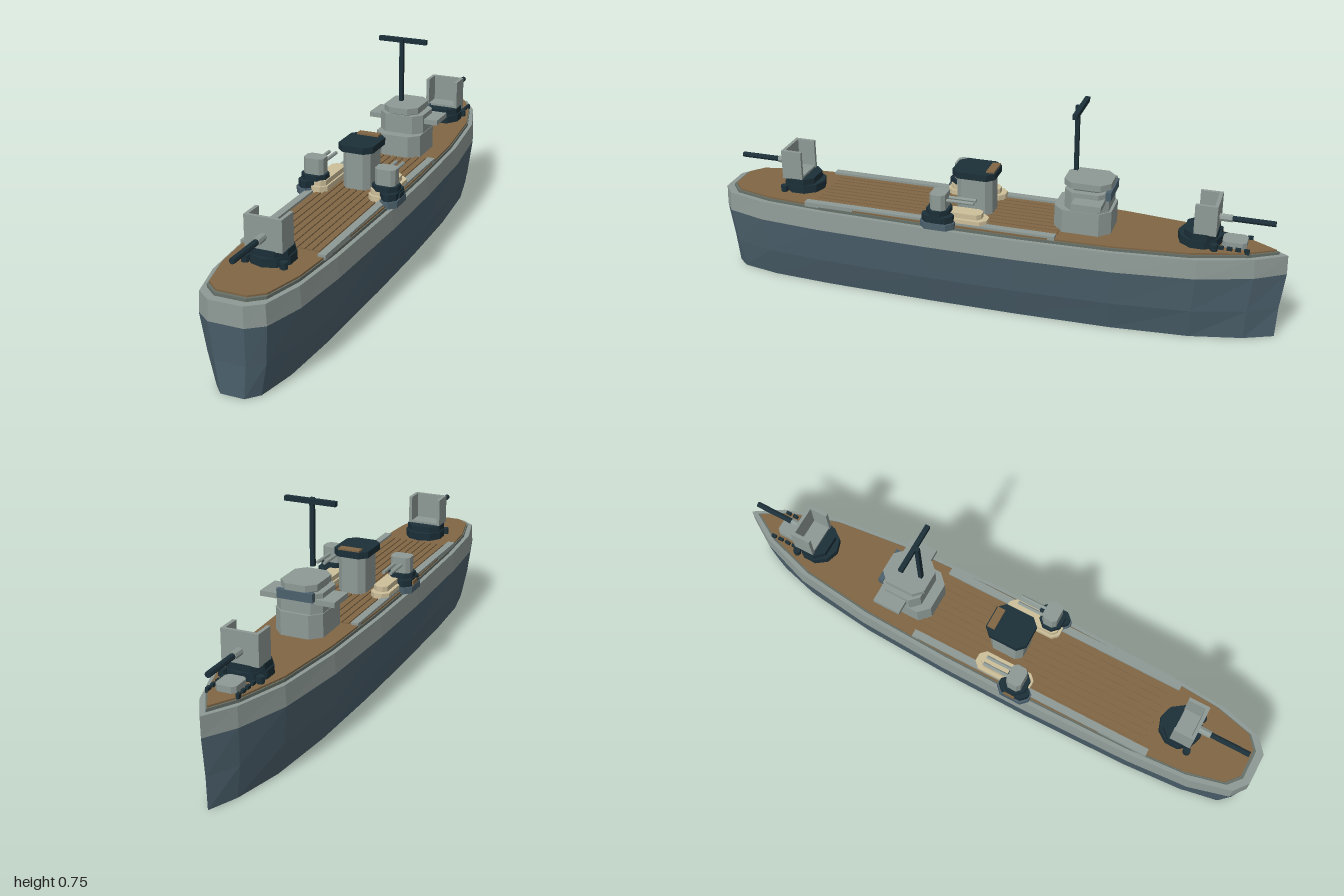
import * as THREE from 'three';

const mat = (name, color, side = THREE.FrontSide) => {
  const m = new THREE.MeshStandardMaterial({ color, side, flatShading: true });
  m.name = name;
  return m;
};

export function createModel() {
  const ship = new THREE.Group();
  ship.name = 'warship';
  const grey = mat('light grey', 0x8e9a96, THREE.DoubleSide);
  const blue = mat('hull blue grey', 0x4c616d, THREE.DoubleSide);
  const dark = mat('dark slate', 0x1c2f38);
  const brown = mat('deck brown', 0x806645);
  const cream = mat('cream', 0xcdbf9a);
  const trim = mat('trim grey', 0x667068);

  const add = (parent, name, geo, m, x = 0, y = 0, z = 0) => {
    const mesh = new THREE.Mesh(geo, m);
    mesh.name = name;
    mesh.position.set(x, y, z);
    parent.add(mesh);
    return mesh;
  };
  // box given by its centre x, z and its bottom and top heights
  const box = (p, name, m, x, z, w, d, y0, y1) =>
    add(p, name, new THREE.BoxGeometry(w, y1 - y0, d), m, x, (y0 + y1) / 2, z);
  // upright block with its four vertical corners cut off
  const block = (p, name, m, x, z, w, d, y0, y1, c) => {
    const a = w / 2, b = d / 2;
    const s = new THREE.Shape([
      [a, -b + c], [a, b - c], [a - c, b], [c - a, b],
      [-a, b - c], [-a, c - b], [c - a, -b], [a - c, -b],
    ].map(([u, v]) => new THREE.Vector2(u, v)));
    const g = new THREE.ExtrudeGeometry(s, { depth: y1 - y0, bevelEnabled: false });
    g.rotateX(-Math.PI / 2);
    return add(p, name, g, m, x, y0, z);
  };
  // barrel along z
  const barrel = (p, name, m, x, y, z0, z1, r) => {
    const g = new THREE.CylinderGeometry(r, r, Math.abs(z1 - z0), 8);
    g.rotateX(Math.PI / 2);
    return add(p, name, g, m, x, y, (z0 + z1) / 2);
  };

  // hull outline from the stern (+z) to the bow (-z)
  const half = [[0.058, 1], [0.11, 0.96], [0.148, 0.82], [0.165, 0.6], [0.174, 0.2],
    [0.172, -0.12], [0.159, -0.45], [0.125, -0.72], [0.064, -0.9]];
  const ring = [...half, [0, -1], ...half.map(([x, z]) => [-x, z]).reverse()];
  // loft through levels of [y, x scale, z scale], open below, with an optional top
  const loft = (levels, top = true) => {
    const pos = [], n = ring.length;
    const pt = (l, i) => [ring[i % n][0] * l[1], l[0], ring[i % n][1] * l[2]];
    const last = levels[levels.length - 1];
    for (let i = 0; i < n; i++) {
      for (let k = 0; k < levels.length - 1; k++) {
        const a = pt(levels[k], i), b = pt(levels[k], i + 1);
        const c = pt(levels[k + 1], i + 1), d = pt(levels[k + 1], i);
        pos.push(...a, ...b, ...c, ...a, ...c, ...d);
      }
      if (top) pos.push(0, last[0], 0, ...pt(last, i), ...pt(last, i + 1));
    }
    const g = new THREE.BufferGeometry();
    g.setAttribute('position', new THREE.Float32BufferAttribute(pos, 3));
    g.computeVertexNormals();
    return g;
  };
  add(ship, 'lowerHull', loft([[0, 0.68, 0.98], [0.11, 0.88, 0.985], [0.24, 1, 1]], false), blue);
  add(ship, 'upperHull', loft([[0.24, 1, 1], [0.308, 0.965, 0.998]]), grey);
  add(ship, 'deckEdge', loft([[0.308, 0.88, 0.97], [0.318, 0.88, 0.97]]), trim);
  add(ship, 'deck', loft([[0.318, 0.86, 0.96], [0.324, 0.86, 0.96]]), brown);

  // raised deck planks and side rails
  for (let i = -4; i <= 4; i++) box(ship, 'plank', brown, i * 0.025, 0.185, 0.019, 0.87, 0.32, 0.328);
  for (const s of [-1, 1]) box(ship, 'sideRail', grey, s * 0.131, 0.2, 0.026, 0.9, 0.315, 0.332);

  // main guns, built facing +z with the mount at the origin
  const mainGun = (z, turn) => {
    const g = new THREE.Group();
    g.name = 'mainGun';
    g.position.z = z;
    g.rotation.y = turn;
    add(g, 'gunBase', new THREE.CylinderGeometry(0.074, 0.074, 0.03, 10), dark, 0, 0.337, 0);
    block(g, 'gunMount', dark, 0, 0.005, 0.132, 0.11, 0.35, 0.374, 0.03);
    box(g, 'shieldFloor', grey, 0, 0.022, 0.126, 0.072, 0.372, 0.382);
    box(g, 'shieldFront', grey, 0, 0.052, 0.126, 0.012, 0.372, 0.477);
    for (const s of [-1, 1]) {
      box(g, 'shieldSide', grey, s * 0.057, 0.016, 0.012, 0.064, 0.372, 0.477);
      add(g, 'mountFoot', new THREE.CylinderGeometry(0.013, 0.013, 0.024, 8), dark, s * 0.064, 0.334, 0.054);
    }
    barrel(g, 'barrelSleeve', grey, 0, 0.415, 0.05, 0.1, 0.013);
    barrel(g, 'barrel', dark, 0, 0.415, 0.09, 0.24, 0.01);
    ship.add(g);
  };
  mainGun(0.71, 0);
  mainGun(-0.71, Math.PI);

  // bow hatch with bollards
  block(ship, 'bowHatch', grey, 0, -0.825, 0.07, 0.08, 0.32, 0.345, 0.012);
  for (const s of [-1, 1]) for (let i = 0; i < 4; i++)
    box(ship, 'bollard', dark, s * 0.05, -0.785 - i * 0.028, 0.01, 0.018, 0.318, 0.335);

  // bridge
  block(ship, 'bridgeBase', grey, 0, -0.322, 0.168, 0.195, 0.32, 0.405, 0.035);
  block(ship, 'bridgeTower', grey, 0, -0.335, 0.164, 0.15, 0.405, 0.472, 0.03);
  box(ship, 'bridgeWings', grey, 0, -0.35, 0.262, 0.1, 0.437, 0.455);
  block(ship, 'windowBand', trim, 0, -0.335, 0.12, 0.14, 0.472, 0.48, 0.03);
  block(ship, 'bridgeRoof', grey, 0, -0.333, 0.13, 0.16, 0.478, 0.5, 0.03);
  box(ship, 'bridgeWindow', blue, 0, -0.409, 0.126, 0.018, 0.448, 0.478);

  // mast
  box(ship, 'mast', dark, 0, -0.284, 0.014, 0.014, 0.52, 0.748);
  box(ship, 'mastCrossbar', dark, 0, -0.295, 0.178, 0.016, 0.732, 0.748);

  // funnel
  block(ship, 'funnel', grey, 0, 0.062, 0.1, 0.126, 0.32, 0.465, 0.02);
  block(ship, 'funnelCap', dark, 0, 0.062, 0.126, 0.152, 0.46, 0.483, 0.025);
  box(ship, 'funnelVent', brown, 0, 0.004, 0.078, 0.028, 0.478, 0.489);

  // side guns on their sponsons, mirrored
  for (const s of [-1, 1]) {
    const g = new THREE.Group();
    g.name = 'sideGun';
    block(g, 'creamPlatform', cream, s * 0.109, 0.095, 0.068, 0.21, 0.322, 0.346, 0.02);
    block(g, 'creamLocker', cream, s * 0.106, 0.1, 0.05, 0.18, 0.346, 0.364, 0.014);
    block(g, 'sponson', blue, s * 0.15, 0.155, 0.066, 0.12, 0.315, 0.338, 0.022);
    block(g, 'gunRing', dark, s * 0.15, 0.155, 0.056, 0.11, 0.338, 0.362, 0.02);
    block(g, 'gunMount', dark, s * 0.13, 0.155, 0.09, 0.08, 0.362, 0.38, 0.024);
    block(g, 'gunHouse', grey, s * 0.13, 0.153, 0.072, 0.055, 0.38, 0.436, 0.012);
    box(g, 'sideLocker', s < 0 ? brown : dark, s * 0.174, 0.15, 0.018, 0.04, 0.34, 0.356);
    for (const t of [-1, 1]) barrel(g, 'barrel', grey, s * 0.125 + t * 0.013, 0.41, 0.135, 0.03, 0.006);
    ship.add(g);
  }
  return ship;
}
